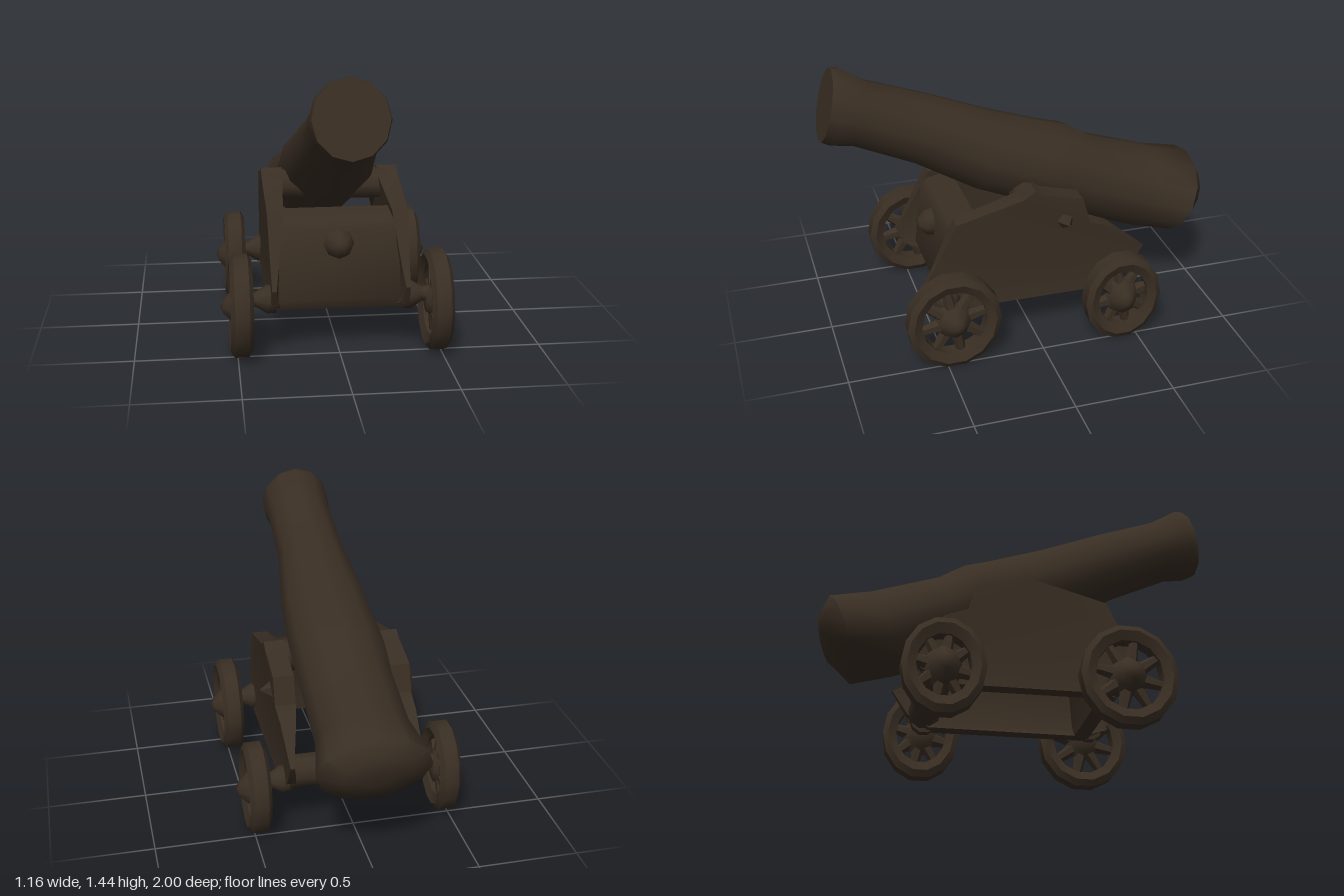
import * as THREE from 'three';
import { toCreasedNormals } from 'three/addons/utils/BufferGeometryUtils.js';

const darkIron = new THREE.MeshStandardMaterial({ color: 0x392e23 });
darkIron.name = 'dark iron';

function add(parent, name, geometry, crease = 0.7) {
  const mesh = new THREE.Mesh(toCreasedNormals(geometry, crease), darkIron);
  mesh.name = name;
  parent.add(mesh);
  return mesh;
}

// Closed loft along z through oval rings: [z, halfWidth, top, bottom, lean]
function loft(rings, sides) {
  const pos = [], index = [];
  for (const [z, w, top, bottom, lean = 0] of rings) {
    for (let i = 0; i < sides; i++) {
      const a = (i / sides) * Math.PI * 2;
      const y = (top + bottom) / 2 + Math.sin(a) * (top - bottom) / 2;
      pos.push(Math.cos(a) * w, y, z + lean * y);
    }
  }
  for (let r = 0; r < rings.length - 1; r++) {
    for (let i = 0; i < sides; i++) {
      const a = r * sides + i, b = r * sides + (i + 1) % sides;
      index.push(a, a + sides, b, b, a + sides, b + sides);
    }
  }
  const last = (rings.length - 1) * sides;
  for (let i = 1; i < sides - 1; i++) {
    index.push(0, i, i + 1, last, last + i + 1, last + i);
  }
  const g = new THREE.BufferGeometry();
  g.setAttribute('position', new THREE.Float32BufferAttribute(pos, 3));
  g.setIndex(index);
  return g;
}

// Lathe turned so its axis runs along x; points are [radius, x]
function latheX(points, sides) {
  const g = new THREE.LatheGeometry(points.map(p => new THREE.Vector2(p[0], p[1])), sides);
  return g.rotateZ(-Math.PI / 2);
}

// Side profile (z, y) extruded between two x positions
function sidePlate(points, x0, x1) {
  const shape = new THREE.Shape(points.map(([z, y]) => new THREE.Vector2(-z, y)));
  const g = new THREE.ExtrudeGeometry(shape, { depth: x1 - x0, bevelEnabled: false });
  return g.rotateY(Math.PI / 2).translate(x0, 0, 0);
}

// Spoked wheel centred on its own origin, axle along x, outside facing side * x
function createWheel(radius, side) {
  const wheel = new THREE.Group();
  const R = radius, inner = radius - 0.075;
  add(wheel, 'rim', latheX([
    [inner, -0.035], [R - 0.03, -0.055], [R, -0.035], [R, 0.035],
    [R - 0.03, 0.055], [inner, 0.035], [inner, -0.035],
  ], 14), 0.9);
  for (let i = 0; i < 8; i++) {
    const spoke = new THREE.CylinderGeometry(0.022, 0.042, inner, 6);
    spoke.translate(0, inner / 2 + 0.01, 0).rotateX((i / 8) * Math.PI * 2 + 0.2);
    add(wheel, 'spoke', spoke, 0.9);
  }
  const hub = add(wheel, 'hub', latheX([
    [0, -0.06], [0.06, -0.05], [0.1, 0], [0.075, 0.045], [0.035, 0.085], [0, 0.1],
  ], 8), 0.9);
  if (side < 0) hub.rotation.y = Math.PI;
  return wheel;
}

export function createModel() {
  const model = new THREE.Group();
  model.name = 'cannon';

  // Barrel, tilted up towards the muzzle
  const barrel = add(model, 'barrel', loft([
    [1.018, 0.175, 0.196, -0.168, 0.12], [0.975, 0.185, 0.208, -0.172, 0.12],
    [0.85, 0.172, 0.178, -0.148], [0.52, 0.18, 0.185, -0.17], [0.18, 0.225, 0.175, -0.229],
    [-0.1, 0.24, 0.184, -0.24], [-0.24, 0.242, 0.196, -0.245], [-0.39, 0.235, 0.168, -0.25],
    [-0.74, 0.237, 0.185, -0.255], [-0.95, 0.28, 0.21, -0.225], [-1.02, 0.18, 0.14, -0.1],
    [-1.03, 0.06, 0.06, -0.03],
  ], 12), 1.0);
  barrel.position.set(-0.005, 0.89, 0);
  barrel.rotation.x = -Math.asin(0.354);

  // Carriage cheeks, whose inner faces taper outwards to thin tips
  const profile = [
    [0.42, 0.22], [0.54, 0.27], [0.58, 0.36], [0.52, 0.46], [0.46, 0.58], [0.4, 0.7],
    [0.06, 0.79], [0, 0.83], [-0.06, 0.8], [-0.25, 0.75], [-0.29, 0.61], [-0.4, 0.57],
    [-0.5, 0.49], [-0.59, 0.42], [-0.51, 0.29], [-0.4, 0.215],
  ];
  for (const side of [1, -1]) {
    const x = [0.245, 0.35].map(v => v * side).sort((a, b) => a - b);
    const cheek = sidePlate(profile, x[0], x[1]);
    const p = cheek.attributes.position;
    for (let i = 0; i < p.count; i++) {
      const t = THREE.MathUtils.clamp((Math.abs(p.getZ(i)) - 0.32) / 0.26, 0, 1);
      p.setX(i, THREE.MathUtils.lerp(p.getX(i), side * 0.33, t * 0.8));
    }
    cheek.computeVertexNormals();
    add(model, side > 0 ? 'leftCheek' : 'rightCheek', cheek, 0.6);
  }

  // Front board and trunnion between the cheeks, open underneath
  add(model, 'frontBoard', sidePlate([
    [0.37, 0.22], [0.45, 0.22], [0.475, 0.27], [0.44, 0.62], [0.41, 0.66], [0.28, 0.69],
    [0.34, 0.6],
  ], -0.3, 0.32), 0.8);
  add(model, 'trunnion', new THREE.CylinderGeometry(0.08, 0.08, 0.62, 10)
    .rotateZ(Math.PI / 2).translate(0, 0.74, 0));

  // Front boss and side peg
  add(model, 'frontBoss', new THREE.LatheGeometry(
    [[0.075, 0], [0.065, 0.04], [0.03, 0.075], [0, 0.08]].map(q => new THREE.Vector2(...q)), 8)
    .rotateX(Math.PI / 2).translate(0, 0.55, 0.445), 0.9);
  add(model, 'sidePeg', new THREE.ConeGeometry(0.05, 0.07, 5)
    .rotateZ(-Math.PI / 2).translate(0.37, 0.64, -0.16));

  // Rear beam between the cheeks
  add(model, 'rearBeam', new THREE.CylinderGeometry(0.085, 0.085, 0.64, 10)
    .rotateZ(Math.PI / 2).translate(0, 0.305, -0.42));

  // Flared axle stubs and wheels
  const axles = [
    { name: 'front', z: 0.46, y: 0.255, r: 0.245, depth: 0.97 },
    { name: 'rear', z: -0.42, y: 0.24, r: 0.215, depth: 0.93 },
  ];
  for (const { name, z, y, r, depth } of axles) {
    for (const side of [1, -1]) {
      const end = name + (side > 0 ? 'Left' : 'Right');
      const stub = add(model, end + 'Axle', latheX([
        [0, 0.3], [0.07, 0.31], [0.07, 0.355], [0.035, 0.41], [0.045, 0.47], [0, 0.47],
      ], 10), 0.9);
      stub.position.set(0, y + 0.03, z);
      if (side < 0) stub.rotation.y = Math.PI;
      const wheel = createWheel(r, side);
      wheel.name = end + 'Wheel';
      wheel.position.set(side * 0.48, y, z);
      wheel.scale.set(1, y / r, depth);
      model.add(wheel);
    }
  }
  return model;
}
